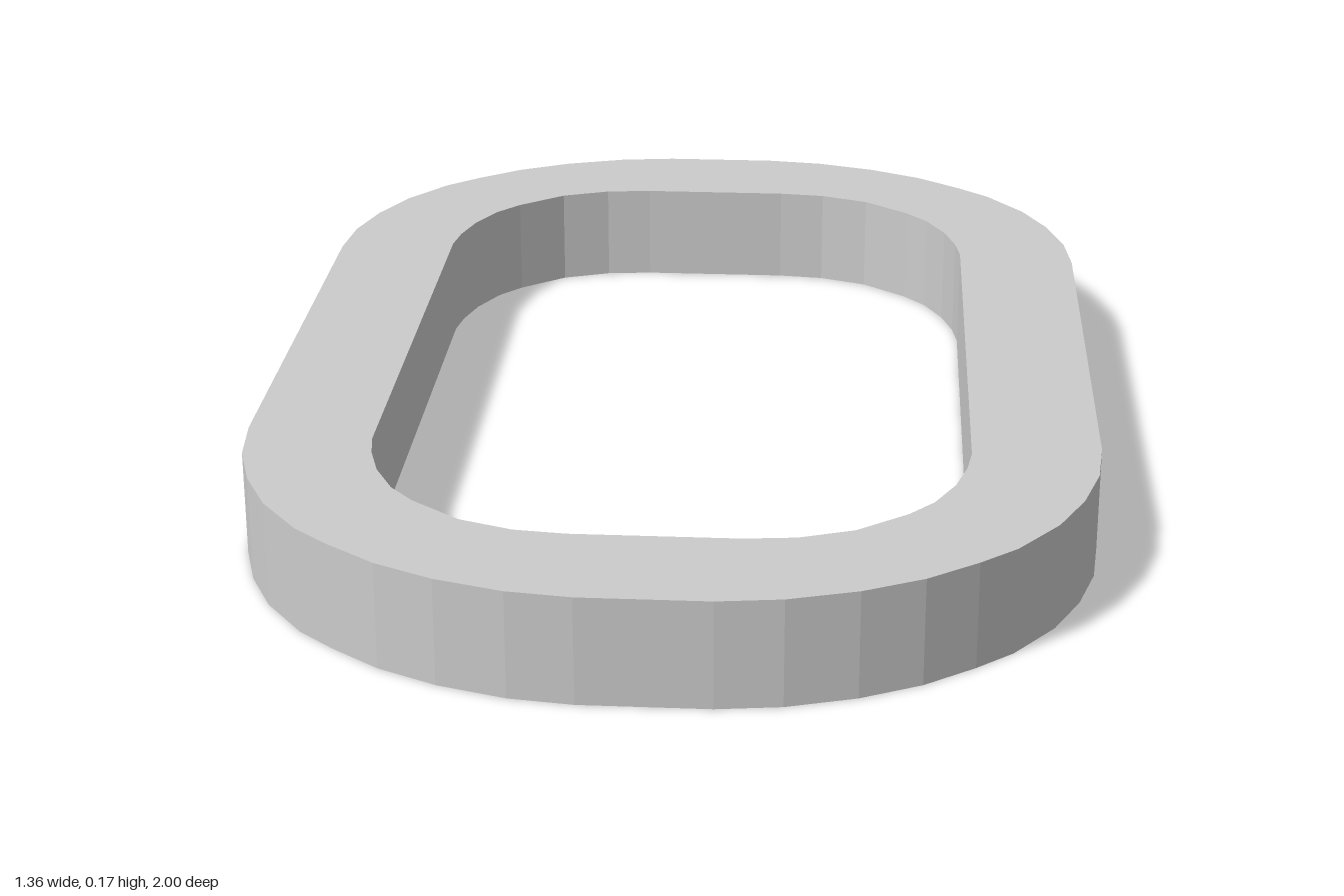
import * as THREE from 'three';

// Mirrors one corner (side to end) into a closed four-cornered outline
function outline(corner) {
  const pts = [];
  for (const [sx, sy] of [[1, 1], [-1, 1], [-1, -1], [1, -1]]) {
    const run = corner.map(([x, y]) => new THREE.Vector2(x * sx, y * sy));
    pts.push(...(sx * sy > 0 ? run : run.reverse()));
  }
  return pts;
}

export function createModel() {
  const group = new THREE.Group();
  group.name = 'ovalLink';

  // Faceted outer and inner corners, as [x, z]
  const outer = [[0.68, 0.43], [0.67, 0.53], [0.642, 0.626], [0.6, 0.714], [0.535, 0.8],
    [0.478, 0.85], [0.4, 0.908], [0.307, 0.954], [0.2, 0.987], [0.1, 1]];
  const inner = [[0.475, 0.46], [0.467, 0.515], [0.448, 0.58], [0.415, 0.645], [0.376, 0.69],
    [0.297, 0.752], [0.212, 0.783], [0.13, 0.792]];

  // Flat ring with an open middle
  const shape = new THREE.Shape(outline(outer));
  shape.holes.push(new THREE.Path(outline(inner)));
  const geometry = new THREE.ExtrudeGeometry(shape, { depth: 0.172, bevelEnabled: false });
  geometry.rotateX(-Math.PI / 2);

  const ring = new THREE.Mesh(geometry,
    new THREE.MeshStandardMaterial({ color: 0xcccccc, flatShading: true }));
  ring.name = 'ring';
  group.add(ring);
  return group;
}
